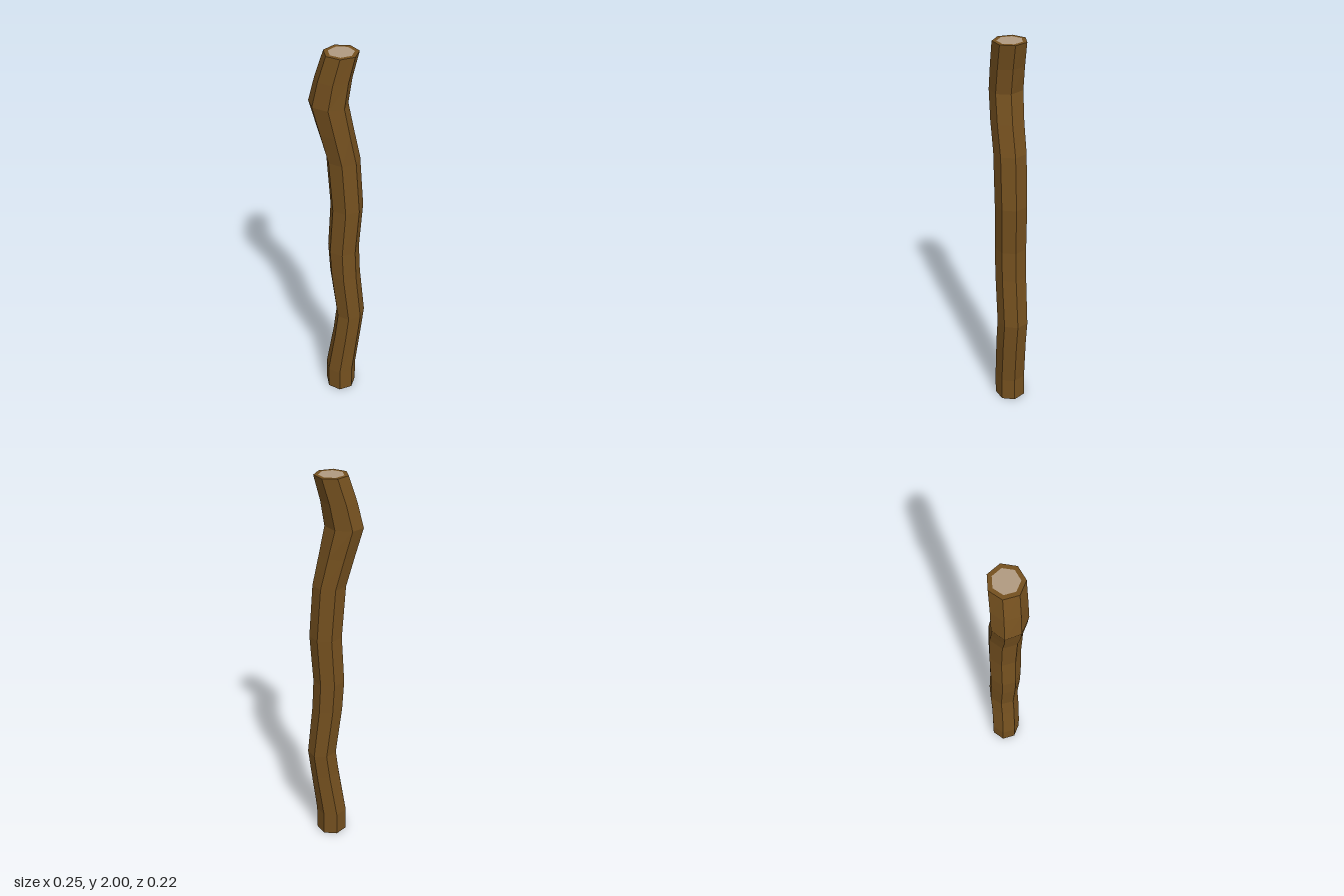
import * as THREE from 'three';

const SIDES = 7, RADIUS = 0.081, CORE = 0.06;

// Stem cross-sections from top to bottom: height, centre x, centre z, stretch along x
const SECTIONS = [
  [2.00, 0.011, 0.000, 1.00],
  [1.88, -0.017, 0.020, 1.08],
  [1.76, -0.036, 0.034, 1.18],
  [1.62, -0.008, 0.018, 1.09],
  [1.47, 0.019, -0.005, 1.01],
  [1.20, 0.034, -0.016, 1.01],
  [0.95, 0.021, -0.008, 0.98],
  [0.79, 0.028, -0.012, 0.96],
  [0.52, 0.051, -0.030, 0.91],
  [0.38, 0.040, -0.018, 0.92],
  [0.13, 0.012, 0.000, 1.00],
  [0.00, 0.012, 0.000, 1.00],
];

export function createModel() {
  const group = new THREE.Group();
  const bark = new THREE.MeshStandardMaterial({ color: 0x74501f, flatShading: true });
  const wood = new THREE.MeshStandardMaterial({ color: 0xb09a80, flatShading: true });

  const add = (name, geometry, material) => {
    const mesh = new THREE.Mesh(geometry, material);
    mesh.name = name;
    group.add(mesh);
    return mesh;
  };

  // Crooked stem: an open seven-sided tube whose rows follow the sections
  const stem = new THREE.CylinderGeometry(RADIUS, RADIUS, 2, SIDES, SECTIONS.length - 1, true, Math.PI);
  const pos = stem.attributes.position;
  for (let i = 0; i < pos.count; i++) {
    const [y, cx, cz, sx] = SECTIONS[Math.floor(i / (SIDES + 1))];
    pos.setXYZ(i, cx + pos.getX(i) * sx, y, cz + pos.getZ(i));
  }
  stem.computeVertexNormals();
  add('stem', stem, bark);

  // Cut ends: a bark rim around a pale wood core
  for (const [label, section, dir] of [['top', SECTIONS[0], 1], ['bottom', SECTIONS.at(-1), -1]]) {
    const start = dir * Math.PI / 2;
    const rim = new THREE.RingGeometry(CORE, RADIUS, SIDES, 1, start);
    const core = new THREE.CircleGeometry(CORE, SIDES, start);
    for (const g of [rim, core]) {
      g.rotateX(-dir * Math.PI / 2);
      g.translate(section[1], section[0], section[2]);
    }
    add(label + 'BarkRim', rim, bark);
    add(label + 'WoodCore', core, wood);
  }

  return group;
}
